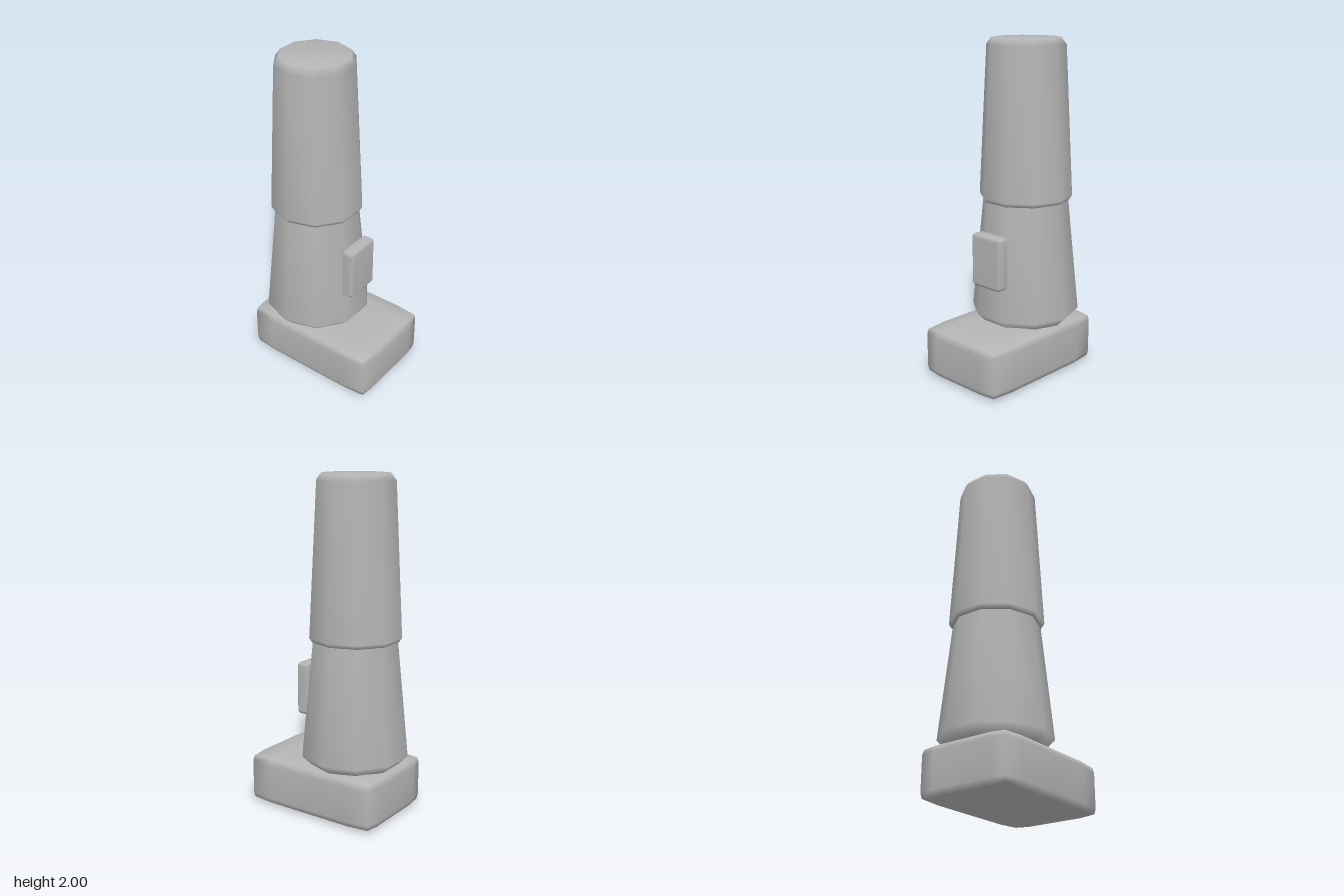
import * as THREE from 'three';
import { mergeVertices } from 'three/addons/utils/BufferGeometryUtils.js';

// Weld shared corners and give area-weighted smooth normals
function smooth(geometry) {
  geometry.deleteAttribute('normal');
  geometry.deleteAttribute('uv');
  const welded = mergeVertices(geometry, 1e-4);
  welded.computeVertexNormals();
  return welded;
}

// Ten-sided turned solid from a bottom-to-top profile, with vertices on the x axis
function turned(profile) {
  const points = profile.map(([r, y]) => new THREE.Vector2(r, y));
  return smooth(new THREE.LatheGeometry(points, 10, Math.PI / 2));
}

// Pillow-like box: full half size on the faces, pulled in along edges and corners
function softBox(half, inner, pull) {
  const geometry = new THREE.BoxGeometry(2, 2, 2, 3, 3, 3);
  const pos = geometry.attributes.position;
  for (let i = 0; i < pos.count; i++) {
    const p = [pos.getX(i), pos.getY(i), pos.getZ(i)];
    const outer = p.map((v) => Math.abs(v) > 0.9);
    const inset = pull * [0, 0, 1, 1.3][outer.filter(Boolean).length];
    const q = p.map((v, a) => Math.sign(v) * (outer[a] ? half[a] - inset : inner[a]));
    pos.setXYZ(i, ...q);
  }
  return smooth(geometry);
}

export function createModel() {
  const group = new THREE.Group();
  const grey = new THREE.MeshStandardMaterial({ color: 0xb4b4b4 });
  grey.name = 'light grey';

  const add = (name, geometry, x, y, z) => {
    const mesh = new THREE.Mesh(geometry, grey);
    mesh.name = name;
    mesh.position.set(x, y, z);
    group.add(mesh);
  };

  // Foot block
  add('base', softBox([0.3, 0.16, 0.44], [0.18, 0.105, 0.28], 0.02), 0, 0.164, 0);

  // Tapered lower handle
  add('handle', turned([
    [0, 0.31], [0.265, 0.31], [0.325, 0.37], [0.255, 1.06], [0.25, 1.1], [0, 1.1],
  ]), 0, 0, -0.138);

  // Upper sleeve with bevelled rims
  add('sleeve', turned([
    [0, 1.055], [0.262, 1.055], [0.278, 1.08], [0.232, 1.96], [0.203, 2], [0, 2],
  ]), 0, 0, -0.138);

  // Front switch
  add('button', softBox([0.115, 0.16, 0.043], [0.095, 0.138, 0.027], 0.008), 0, 0.725, 0.167);

  return group;
}
